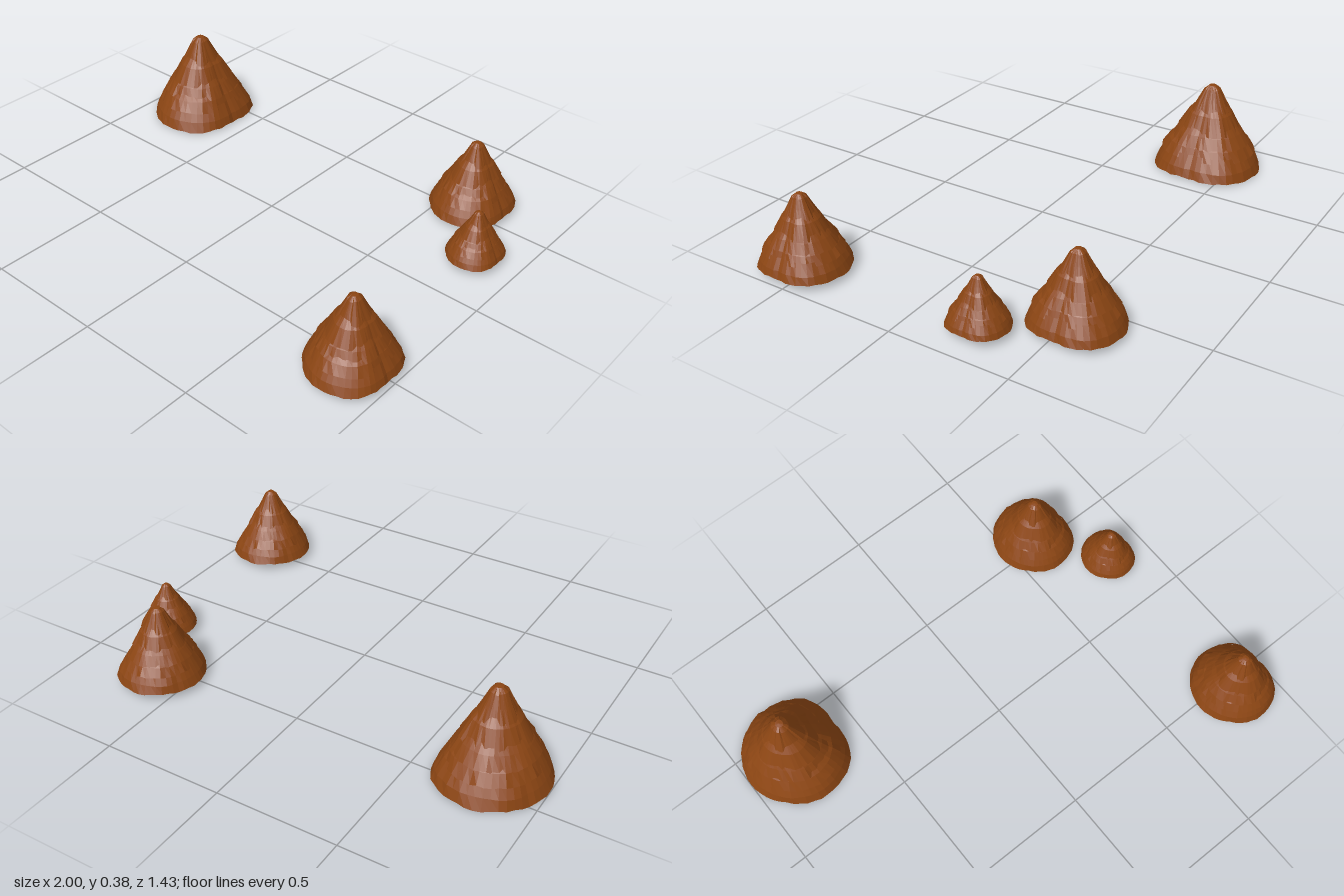
import * as THREE from 'three';

const SEG = 48;
const HEIGHT = 0.38;
// Radius of the mound every 45 degrees, starting at +z and turning towards +x
const OUTLINE = [0.233, 0.233, 0.198, 0.235, 0.233, 0.226, 0.222, 0.218];
// Overlapping straw tiers: [fraction of radius, fraction of height], bottom to top
const TIERS = [
  [[1, 0.01], [0.93, 0.12], [0.79, 0.27]],
  [[0.86, 0.22], [0.74, 0.34], [0.64, 0.40]],
  [[0.74, 0.335], [0.6, 0.47], [0.5, 0.55]],
  [[0.59, 0.48], [0.41, 0.68], [0.28, 0.77]],
  [[0.37, 0.69], [0.25, 0.83], [0.15, 0.95], [0.07, 0.995], [0, 1]],
];

// Repeatable noise in -1..1
function noise(a, b) {
  const s = Math.sin(a * 12.9898 + b * 78.233) * 43758.5453;
  return (s - Math.floor(s)) * 2 - 1;
}

function outlineRadius(i) {
  const t = (i / SEG) * 8;
  const k = Math.floor(t);
  return THREE.MathUtils.lerp(OUTLINE[k % 8], OUTLINE[(k + 1) % 8], t - k);
}

// One open shell of straw with a ragged hem and slightly uneven bundles
function tierGeometry(tier, n) {
  const points = tier.map(([r, h]) => new THREE.Vector2(r, h * HEIGHT));
  const geo = new THREE.LatheGeometry(points, SEG);
  const pos = geo.attributes.position;
  const bundle = 4 + (n % 2);
  for (let v = 0; v < pos.count; v++) {
    const i = Math.floor(v / points.length) % SEG;
    const j = v % points.length;
    const panel = noise(Math.floor(i / bundle) + 1, n + 3);
    const swell = 1 + 0.022 * panel + 0.01 * noise(i + 7, n * 5 + j);
    const r = outlineRadius(i) * (n === 0 && j === 0 ? 1 + 0.01 * noise(i, 2) : swell);
    const rag = j === 0 ? 0.004 * noise(i + 3, n) + 0.004 * panel
      : j < points.length - 2 ? 0.004 * panel : 0;
    pos.setXYZ(v, pos.getX(v) * r, Math.max(0, pos.getY(v) + rag), pos.getZ(v) * r);
  }
  geo.computeVertexNormals();
  return geo;
}

export function createModel() {
  const model = new THREE.Group();
  model.name = 'strawMounds';
  const straw = new THREE.MeshStandardMaterial({
    color: 0x8b4513, flatShading: true, side: THREE.DoubleSide,
  });
  const tiers = TIERS.map(tierGeometry);

  // Name, position and scale of each mound
  const mounds = [
    ['largeMound', -0.777, 0.005, -0.385, 1],
    ['backMound', 0.622, 0.027, -0.537, 0.785],
    ['frontMound', 0.835, 0.027, 0.53, 0.785],
    ['smallMound', 0.82, 0.032, -0.258, 0.52],
  ];
  for (const [name, x, y, z, s] of mounds) {
    const mound = new THREE.Group();
    mound.name = name;
    tiers.forEach((geo, n) => {
      const mesh = new THREE.Mesh(geo, straw);
      mesh.name = n === tiers.length - 1 ? 'peak' : `strawTier${n + 1}`;
      mound.add(mesh);
    });
    mound.position.set(x, y, z);
    mound.scale.setScalar(s);
    model.add(mound);
  }
  return model;
}
